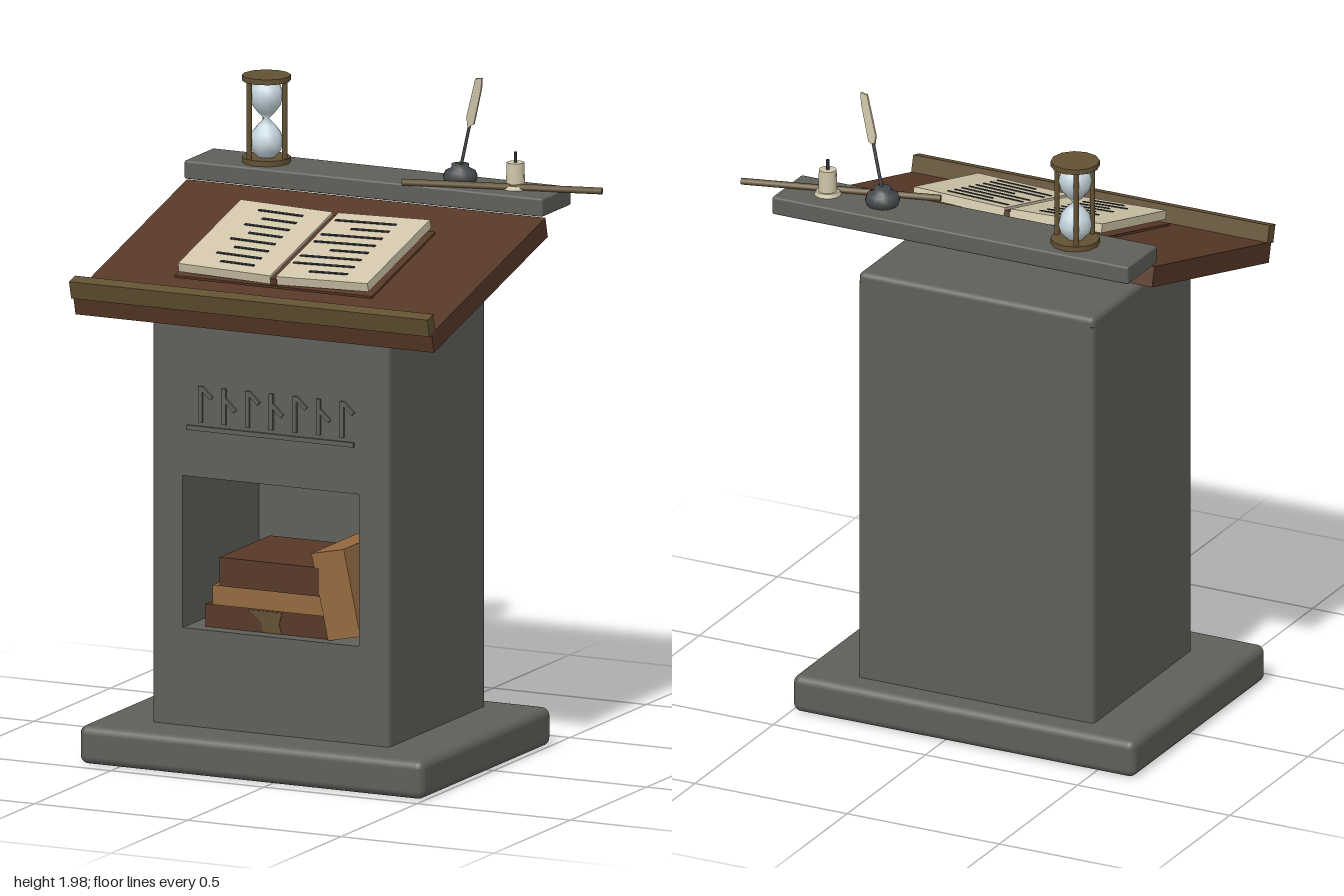
import * as THREE from 'three';
import { RoundedBoxGeometry } from 'three/addons/geometries/RoundedBoxGeometry.js';

const mat = (name, color, extra = {}) => {
  const m = new THREE.MeshStandardMaterial({ color, ...extra });
  m.name = name;
  return m;
};

export function createModel() {
  const stone = mat('stone', 0x5e5f59);
  const wood = mat('dark wood', 0x573827);
  const trim = mat('olive wood', 0x625133);
  const tan = mat('tan leather', 0x94683f);
  const paper = mat('paper', 0xd0c5a9, { side: THREE.DoubleSide });
  const glass = mat('pale glass', 0xc6d6de);
  const ink = mat('ink', 0x303338);
  const pewter = mat('pewter', 0x45484a);

  const model = new THREE.Group();
  model.name = 'lectern';

  const add = (name, geo, material, x, y, z, parent = model) => {
    const m = new THREE.Mesh(geo, material);
    m.name = name;
    m.position.set(x, y, z);
    parent.add(m);
    return m;
  };
  const box = (name, material, w, h, d, x, y, z, parent) =>
    add(name, new THREE.BoxGeometry(w, h, d), material, x, y, z, parent);
  const cyl = (name, material, rt, rb, h, n, x, y, z, parent) =>
    add(name, new THREE.CylinderGeometry(rt, rb, h, n), material, x, y, z, parent);
  // Round rod between two points
  const rod = (name, material, a, b, r, parent) => {
    const dir = b.clone().sub(a), mid = a.clone().add(b).multiplyScalar(0.5);
    const m = cyl(name, material, r, r, dir.length(), 8, mid.x, mid.y, mid.z, parent);
    m.quaternion.setFromUnitVectors(new THREE.Vector3(0, 1, 0), dir.normalize());
    return m;
  };

  // Plinth
  add('plinth', new RoundedBoxGeometry(1.125, 0.115, 0.85, 3, 0.025), stone, -0.065, 0.0605, 0.035);

  // Column: horizontal slices, the middle one notched for the alcove
  const L = -0.455, R = 0.32, F = -0.32, B = 0.31, r = 0.015; // plan, with y = -z
  const slice = (name, y0, y1, notched) => {
    const s = new THREE.Shape();
    s.moveTo(L + r, F);
    if (notched) {
      s.lineTo(-0.355, F); s.lineTo(-0.355, 0.18); s.lineTo(0.22, 0.18); s.lineTo(0.22, F);
    }
    s.lineTo(R - r, F); s.quadraticCurveTo(R, F, R, F + r);
    s.lineTo(R, B - r); s.quadraticCurveTo(R, B, R - r, B);
    s.lineTo(L + r, B); s.quadraticCurveTo(L, B, L, B - r);
    s.lineTo(L, F + r); s.quadraticCurveTo(L, F, L + r, F);
    const g = new THREE.ExtrudeGeometry(s, { depth: y1 - y0, bevelEnabled: false, curveSegments: 3 });
    g.rotateX(-Math.PI / 2);
    add(name, g, stone, 0, y0, 0);
  };
  slice('columnFoot', 0.115, 0.41, false);
  slice('columnAlcove', 0.41, 0.865, true);
  slice('columnUpper', 0.865, 1.37, false);
  add('columnCap', new RoundedBoxGeometry(R - L, 0.12, 0.63, 3, 0.018), stone, (L + R) / 2, 1.34, 0.005);

  // Carved ornament band: upright bars with slanted ticks, over a rule
  const carving = new THREE.Group();
  carving.name = 'carvedBand';
  model.add(carving);
  box('carvedRule', stone, 0.545, 0.014, 0.012, -0.067, 1.012, 0.322, carving);
  for (let i = 0; i < 7; i++) {
    const x = -0.295 + i * 0.077;
    box('carvedBar', stone, 0.013, 0.108, 0.012, x, 1.085, 0.322, carving);
    const t = box('carvedTick', stone, 0.045, 0.012, 0.012, x + 0.02, i % 2 ? 1.09 : 1.12, 0.322, carving);
    t.rotation.z = -0.75;
  }

  // Books in the alcove
  const books = new THREE.Group();
  books.name = 'alcoveBooks';
  model.add(books);
  box('bottomBook', wood, 0.4, 0.068, 0.33, -0.1, 0.445, 0.115, books);
  box('middleBook', tan, 0.36, 0.058, 0.33, -0.095, 0.509, 0.12, books);
  box('topBook', wood, 0.325, 0.086, 0.33, -0.087, 0.582, 0.125, books);
  const patch = new THREE.Shape([[-0.16, 0.475], [-0.05, 0.475], [-0.06, 0.44], [-0.05, 0.413], [-0.11, 0.413],
    [-0.12, 0.445]].map(p => new THREE.Vector2(...p)));
  add('bookPatch', new THREE.ExtrudeGeometry(patch, { depth: 0.003, bevelEnabled: false }), trim, 0, 0, 0.279, books);
  box('leaningBook', tan, 0.108, 0.262, 0.3, 0.13, 0.549, 0.14, books).rotation.z = 0.21;

  // Sloping desk with lip
  const desk = new THREE.Group();
  desk.name = 'desk';
  desk.position.set(-0.065, 1.47, 0.065);
  desk.rotation.x = Math.PI / 12;
  model.add(desk);
  box('deskTop', wood, 1.17, 0.062, 0.772, 0, 0, 0, desk);
  box('deskLip', trim, 1.17, 0.055, 0.04, 0, 0.055, 0.38, desk);

  // Open book on the desk
  box('openBookCover', wood, 0.645, 0.008, 0.43, 0, 0.049, 0.025, desk);
  box('openBookSpine', wood, 0.022, 0.022, 0.425, 0, 0.062, 0.022, desk);
  for (const side of [-1, 1]) {
    const page = new THREE.Group();
    page.name = side < 0 ? 'rightPage' : 'leftPage';
    page.position.set(side * 0.008, 0.054, 0.02);
    page.rotation.z = side * 0.03;
    desk.add(page);
    box('pageBlock', paper, 0.3, 0.027, 0.425, side * 0.152, 0.0135, 0, page);
    for (let i = 0; i < 8; i++) {
      const short = side < 0 ? i % 2 === 1 : [1, 4, 7, 6].includes(i) && i !== 6;
      const [a, b] = side < 0 ? [short ? -0.185 : -0.22, -0.075] : [short ? 0.09 : 0.015, 0.215];
      box('inkLine', ink, b - a, 0.004, 0.009, (a + b) / 2, 0.0275, -0.163 + i * 0.047, page);
    }
  }

  // Stone shelf behind the desk
  add('backShelf', new RoundedBoxGeometry(1.17, 0.055, 0.19, 2, 0.006), stone, -0.065, 1.6325, -0.375);

  // Hourglass
  const hourglass = new THREE.Group();
  hourglass.name = 'hourglass';
  hourglass.position.set(-0.427, 1.66, -0.373);
  model.add(hourglass);
  for (const y of [0.008, 0.252]) cyl('hourglassPlate', trim, 0.072, 0.072, 0.016, 12, 0, y, 0, hourglass);
  for (let i = 0; i < 3; i++) {
    const a = i * Math.PI * 2 / 3;
    cyl('hourglassPost', trim, 0.008, 0.008, 0.23, 8, 0.06 * Math.cos(a), 0.13, 0.06 * Math.sin(a), hourglass);
  }
  const bulbs = [[0.025, 0.016], [0.043, 0.035], [0.05, 0.06], [0.043, 0.088], [0.025, 0.112], [0.007, 0.13],
    [0.025, 0.148], [0.043, 0.172], [0.05, 0.2], [0.043, 0.225], [0.025, 0.244]].map(p => new THREE.Vector2(...p));
  add('hourglassBulbs', new THREE.LatheGeometry(bulbs, 14), glass, 0, 0, 0, hourglass);

  // Inkwell and quill
  const well = [[0, 0], [0.045, 0], [0.052, 0.018], [0.045, 0.035], [0.026, 0.045], [0.026, 0.056], [0, 0.056]]
    .map(p => new THREE.Vector2(...p));
  add('inkwell', new THREE.LatheGeometry(well, 14), pewter, 0.205, 1.66, -0.375);
  const foot = new THREE.Vector3(0.206, 1.7, -0.373), joint = new THREE.Vector3(0.244, 1.84, -0.358);
  rod('quillShaft', pewter, foot, joint, 0.005);
  const vane = new THREE.Shape([[-0.004, 0], [0.013, 0.015], [0.016, 0.13], [0.012, 0.163], [-0.008, 0.155],
    [-0.014, 0.03]].map(p => new THREE.Vector2(...p)));
  const feather = add('quillFeather', new THREE.ExtrudeGeometry(vane, { depth: 0.008, bevelEnabled: false }),
    paper, 0.244, 1.832, -0.36);
  feather.rotation.set(0.09, 0, -0.23);

  // Candle
  cyl('candleWaxPool', paper, 0.035, 0.04, 0.012, 12, 0.385, 1.666, -0.375);
  cyl('candle', paper, 0.026, 0.028, 0.07, 12, 0.385, 1.703, -0.375);
  cyl('candleWick', ink, 0.005, 0.005, 0.032, 6, 0.385, 1.753, -0.375);

  // Wooden rod lying across the shelf
  rod('shelfRod', trim, new THREE.Vector3(0.067, 1.668, -0.27), new THREE.Vector3(0.645, 1.668, -0.422), 0.01);

  return model;
}
